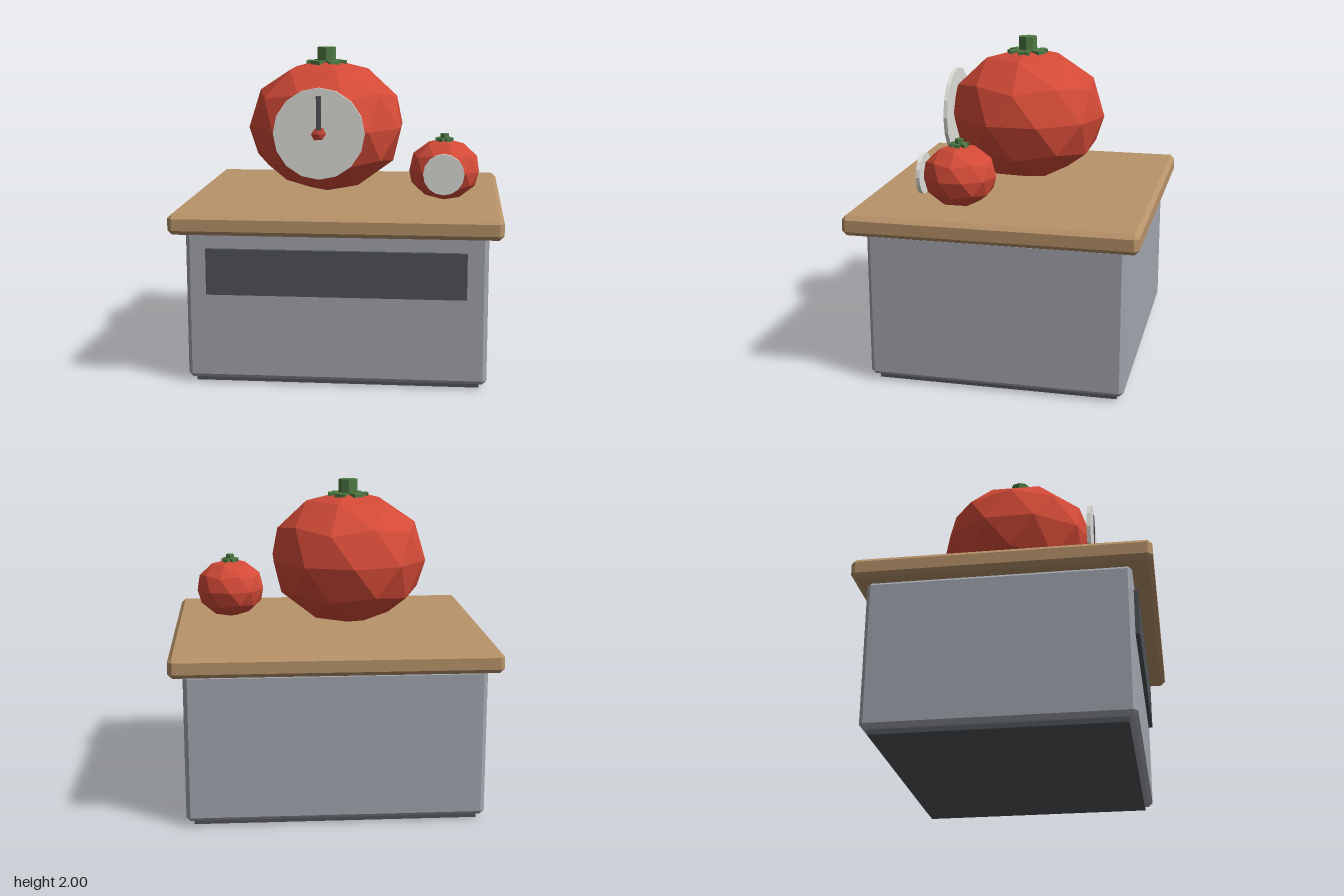
import * as THREE from 'three';
import { ConvexGeometry } from 'three/addons/geometries/ConvexGeometry.js';

const paint = (name, color) => {
  const m = new THREE.MeshStandardMaterial({ color });
  m.name = name;
  return m;
};

export function createModel() {
  const red = paint('tomato red', 0xd34a37);
  const green = paint('stem green', 0x4f7a45);
  const white = paint('dial white', 0xdedfd9);
  const dark = paint('dark grey', 0x505357);
  const grey = paint('cabinet grey', 0xa3a6af);
  const wood = paint('wood', 0xb8936a);

  const add = (parent, name, geometry, material, x = 0, y = 0, z = 0) => {
    const mesh = new THREE.Mesh(geometry, material);
    mesh.name = name;
    mesh.position.set(x, y, z);
    parent.add(mesh);
    return mesh;
  };

  // Faceted geometry: every triangle gets its own normal
  const faceted = (geometry) => {
    const g = geometry.index ? geometry.toNonIndexed() : geometry;
    g.computeVertexNormals();
    return g;
  };

  // Box with every edge and corner cut by a flat chamfer
  const chamferBox = (w, h, d, c) => {
    const points = [];
    for (const sx of [-1, 1]) for (const sy of [-1, 1]) for (const sz of [-1, 1]) {
      const [x, y, z] = [w / 2, h / 2, d / 2];
      points.push(
        new THREE.Vector3(sx * x, sy * (y - c), sz * (z - c)),
        new THREE.Vector3(sx * (x - c), sy * y, sz * (z - c)),
        new THREE.Vector3(sx * (x - c), sy * (y - c), sz * z));
    }
    return new ConvexGeometry(points);
  };

  // Tomato timer: faceted body, six-leaf crown, stem and round dial
  const timer = (name, r, leafY, leafH, dialR, dialZ) => {
    const group = new THREE.Group();
    group.name = name;
    const body = new THREE.IcosahedronGeometry(r, 1);
    body.rotateZ(-Math.atan(2 / (1 + Math.sqrt(5)))); // one vertex straight up
    body.scale(1, 0.85, 1);
    add(group, 'tomatoBody', faceted(body), red);

    for (let i = 0; i < 6; i++) {
      const leaf = new THREE.BoxGeometry(r * 0.25, leafH, r * 0.14);
      leaf.translate(r * 0.125, 0, 0);
      add(group, 'leaf', leaf, green, 0, leafY, 0).rotation.y = i * Math.PI / 3;
    }
    const stemTop = r * 0.99;
    const stemBase = r * 0.77;
    const stem = new THREE.CylinderGeometry(r * 0.118, r * 0.118, stemTop - stemBase, 8);
    add(group, 'stem', faceted(stem), green, 0, (stemTop + stemBase) / 2, 0);

    const dial = new THREE.CylinderGeometry(dialR, dialR, 0.024, 16);
    dial.rotateX(Math.PI / 2);
    add(group, 'dial', faceted(dial), white, 0, 0, dialZ);
    return group;
  };

  const model = new THREE.Group();
  model.name = 'tomatoTimersOnCabinet';

  // Cabinet
  add(model, 'base', new THREE.BoxGeometry(1.72, 0.06, 1.47), dark, 0, 0.03, -0.025);
  add(model, 'cabinetBody', chamferBox(1.81, 0.915, 1.565, 0.025), grey, 0, 0.4875, -0.0225);
  add(model, 'frontPanel', new THREE.BoxGeometry(1.56, 0.28, 0.04), dark, 0, 0.70, 0.766);
  add(model, 'tableTop', chamferBox(1.975, 0.125, 1.77, 0.027), wood, 0, 1.0025, 0);

  // Large timer with a hand pointing up
  const large = timer('largeTimer', 0.505, 0.404, 0.022, 0.28, 0.478);
  large.position.set(-0.13, 1.5, 0);
  add(large, 'hand', new THREE.BoxGeometry(0.03, 0.21, 0.008), dark, 0, 0.125, 0.492);
  model.add(large);

  // Small timer
  const small = timer('smallTimer', 0.226, 0.187, 0.02, 0.125, 0.226);
  small.position.set(0.63, 1.26, 0.25);
  model.add(small);

  return model;
}
